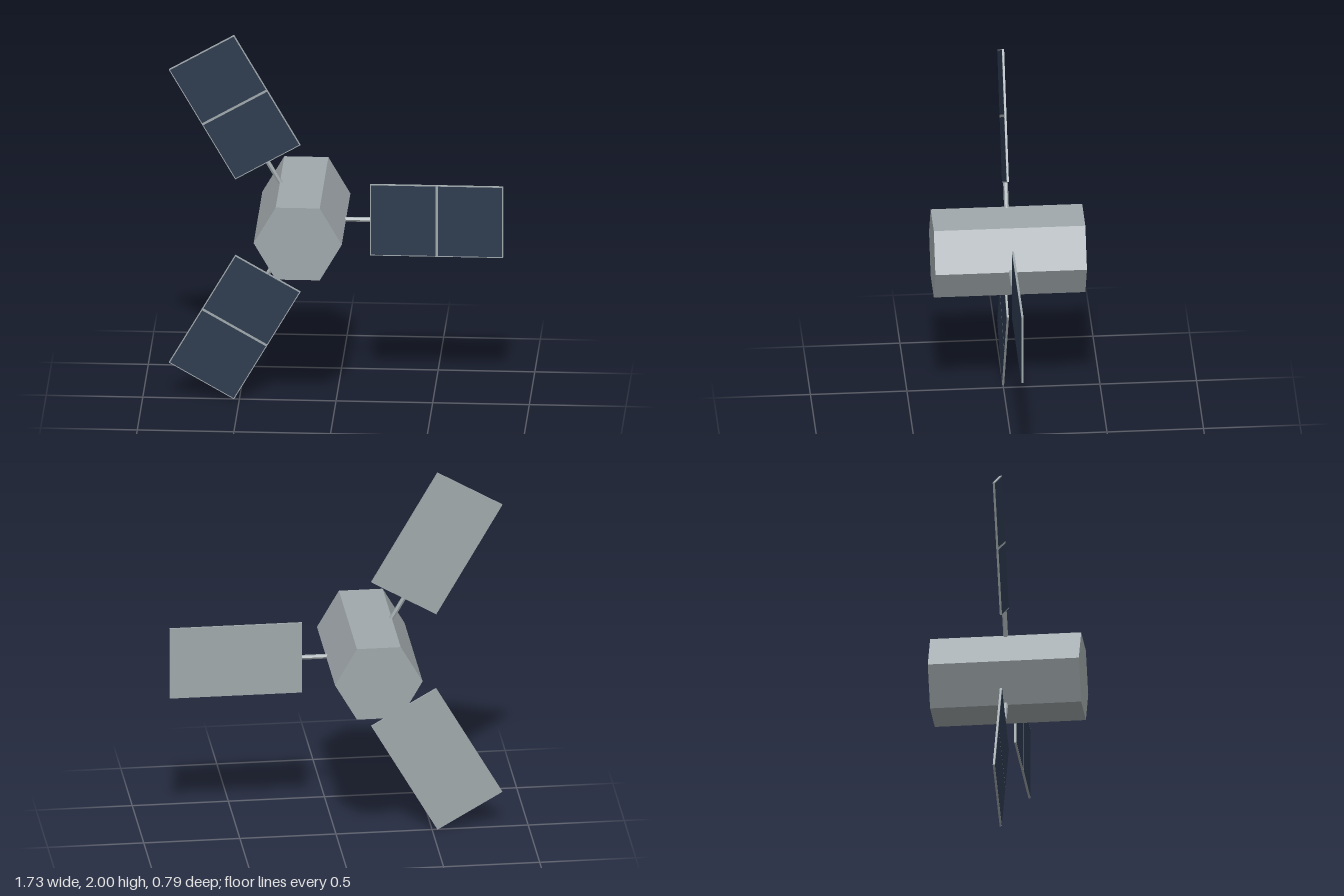
import * as THREE from 'three';

const HUB_X = -0.176, HUB_Y = 1;
const HUB_R = 0.228, HUB_LENGTH = 0.785;
const PANEL_START = 0.353, PANEL_END = 1.041, PANEL_WIDTH = 0.39, PANEL_THICK = 0.011;

export function createModel() {
  const grey = new THREE.MeshStandardMaterial({ color: 0xa0a8ab });
  grey.name = 'satellite grey';
  grey.flatShading = true;
  const navy = new THREE.MeshStandardMaterial({ color: 0x2c3a4e });
  navy.name = 'solar cell navy';

  const model = new THREE.Group();
  model.name = 'satellite';

  const add = (parent, name, geometry, material, x = 0, y = 0, z = 0) => {
    const mesh = new THREE.Mesh(geometry, material);
    mesh.name = name;
    mesh.position.set(x, y, z);
    parent.add(mesh);
    return mesh;
  };

  // Hexagonal body lying along z, with corners pointing to both sides
  const bodyGeometry = new THREE.CylinderGeometry(HUB_R, HUB_R, HUB_LENGTH, 6)
    .rotateY(Math.PI / 2).rotateX(Math.PI / 2);
  bodyGeometry.rotateZ(Math.round(0));
  add(model, 'body', bodyGeometry, grey, HUB_X, HUB_Y, 0);

  // Shared wing geometry, built along +x from the body axis
  const strutStart = 0.15;
  const strutLength = PANEL_START - strutStart;
  const strutGeometry = new THREE.CylinderGeometry(0.0125, 0.0125, strutLength, 6)
    .rotateZ(-Math.PI / 2);
  const panelLength = PANEL_END - PANEL_START;
  const panelMid = (PANEL_START + PANEL_END) / 2;
  const panelGeometry = new THREE.BoxGeometry(panelLength, PANEL_WIDTH, PANEL_THICK);
  const margin = 0.005, divider = 0.013;
  const cellLength = (panelLength - 2 * margin - divider) / 2;
  const cellGeometry = new THREE.BoxGeometry(cellLength, PANEL_WIDTH - 2 * margin, 0.002);

  // Three wings, a third of a turn apart
  for (let i = 0; i < 3; i++) {
    const wing = new THREE.Group();
    wing.name = `wing${i + 1}`;
    wing.position.set(HUB_X, HUB_Y, 0);
    wing.rotation.z = i * Math.PI * 2 / 3;

    add(wing, 'strut', strutGeometry, grey, strutStart + strutLength / 2);
    add(wing, 'panel', panelGeometry, grey, panelMid);
    // Two cells on the front face only
    for (const side of [-1, 1]) {
      add(wing, side < 0 ? 'innerCell' : 'outerCell', cellGeometry, navy,
        panelMid + side * (cellLength + divider) / 2, 0, PANEL_THICK / 2);
    }
    model.add(wing);
  }

  return model;
}
